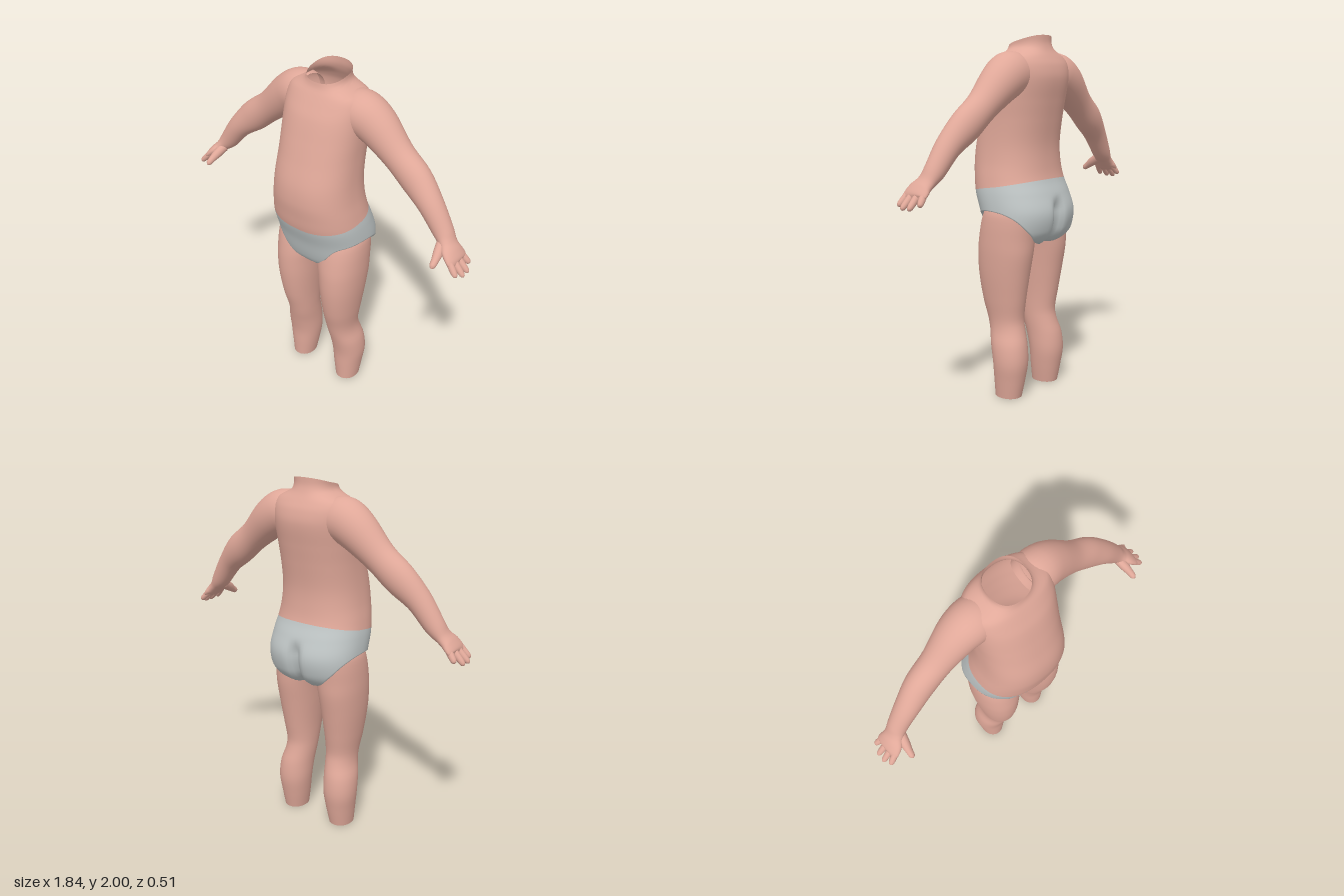
import * as THREE from 'three';

const TAU = Math.PI * 2;
const skin = new THREE.MeshStandardMaterial({ color: 0xe0a899, side: THREE.DoubleSide });
skin.name = 'skin';
const cloth = new THREE.MeshStandardMaterial({ color: 0xbfc5c5, side: THREE.DoubleSide });
cloth.name = 'grey cloth';

// Smooth interpolation of rows [key, a, b, ...] at a given key
function sample(rows, key) {
  const n = rows.length;
  const k = Math.min(Math.max(key, rows[0][0]), rows[n - 1][0]);
  let i = 0;
  while (i < n - 2 && rows[i + 1][0] < k) i++;
  const p = rows[i], q = rows[i + 1], h = q[0] - p[0], t = (k - p[0]) / h;
  const before = rows[Math.max(i - 1, 0)], after = rows[Math.min(i + 2, n - 1)];
  const t2 = t * t, t3 = t2 * t;
  return p.slice(1).map((_, j) => {
    const c = j + 1;
    const m0 = (q[c] - before[c]) / (q[0] - before[0]) * h;
    const m1 = (after[c] - p[c]) / (after[0] - p[0]) * h;
    return (2 * t3 - 3 * t2 + 1) * p[c] + (t3 - 2 * t2 + t) * m0
      + (3 * t2 - 2 * t3) * q[c] + (t3 - t2) * m1;
  });
}

// Tube-like surface: point(angle, v) with angle around and v from 0 to 1
function surface(name, material, around, rows, point) {
  const pos = [], index = [];
  for (let j = 0; j <= rows; j++) {
    for (let i = 0; i < around; i++) pos.push(...point(i / around * TAU, j / rows));
  }
  for (let j = 0; j < rows; j++) {
    for (let i = 0; i < around; i++) {
      const i2 = (i + 1) % around, a = j * around + i, b = j * around + i2;
      index.push(a, b, b + around, a, b + around, a + around);
    }
  }
  const g = new THREE.BufferGeometry();
  g.setAttribute('position', new THREE.Float32BufferAttribute(pos, 3));
  g.setIndex(index);
  g.computeVertexNormals();
  const mesh = new THREE.Mesh(g, material);
  mesh.name = name;
  return mesh;
}

const power = (v, e) => Math.sign(v) * Math.abs(v) ** e;

// Trunk sections: y, half width, front z, back z
const TRUNK = [
  [0.86, 0.24, 0.11, -0.15], [0.9, 0.268, 0.15, -0.205], [0.95, 0.278, 0.172, -0.24],
  [1.05, 0.281, 0.2, -0.257], [1.15, 0.275, 0.235, -0.225], [1.23, 0.262, 0.248, -0.192],
  [1.32, 0.246, 0.257, -0.178], [1.42, 0.236, 0.248, -0.176], [1.55, 0.232, 0.212, -0.192],
  [1.65, 0.235, 0.183, -0.208], [1.77, 0.24, 0.145, -0.225], [1.84, 0.238, 0.11, -0.213],
  [1.885, 0.215, 0.085, -0.19], [1.91, 0.16, 0.07, -0.175], [1.93, 0.125, 0.064, -0.165],
  [1.96, 0.113, 0.06, -0.155], [2.0, 0.118, 0.07, -0.152],
];

function trunkPoint(angle, y, inset = 1) {
  const [w, front, back] = sample(TRUNK, y);
  const mid = (front + back) / 2, depth = (front - back) / 2;
  const x = w * power(Math.sin(angle), 0.86) * inset;
  let z = mid + depth * power(Math.cos(angle), 0.86) * inset;
  // Crease between the buttocks
  if (Math.cos(angle) < 0) {
    const fade = THREE.MathUtils.smoothstep(1.15 - y, 0, 0.1);
    z += 0.045 * fade * Math.exp(-((x / 0.035) ** 2));
  }
  return [x, y, z];
}

// Edges of the briefs and the neck as heights around the trunk
const LEG_OPENING = [
  [0, 0.88], [0.18, 0.885], [0.37, 0.93], [0.7, 1.025], [1.1, 1.055], [1.57, 1.06],
  [2.0, 1.025], [2.4, 0.95], [2.7, 0.89], [3.0, 0.87], [3.15, 0.875],
];
const legOpening = a => sample(LEG_OPENING, a > Math.PI ? TAU - a : a)[0];
const waist = a => 1.19 - 0.04 * Math.cos(a);
const neckRim = a => 1.97 - 0.03 * Math.cos(a);

// Leg sections: y, inner x, outer x, front z, back z
const LEG = [
  [0, 0.105, 0.237, 0.05, -0.105], [0.1, 0.088, 0.25, 0.055, -0.125],
  [0.2, 0.075, 0.262, 0.06, -0.14], [0.3, 0.07, 0.256, 0.08, -0.132],
  [0.38, 0.065, 0.235, 0.1, -0.11], [0.44, 0.062, 0.232, 0.115, -0.1],
  [0.55, 0.055, 0.248, 0.145, -0.115], [0.7, 0.04, 0.268, 0.168, -0.14],
  [0.82, 0.027, 0.278, 0.172, -0.16], [0.9, 0.015, 0.28, 0.165, -0.165],
  [1.0, 0.015, 0.278, 0.145, -0.17], [1.06, 0.03, 0.268, 0.12, -0.16],
  [1.14, 0.07, 0.22, 0.06, -0.1],
];

function leg(side, name) {
  return surface(name, skin, 40, 50, (angle, v) => {
    const y = v * 1.14, a = angle * side;
    const [inner, outer, front, back] = sample(LEG, y);
    return [
      side * (inner + outer) / 2 + (outer - inner) / 2 * power(Math.sin(a), 0.95) ,
      y,
      (front + back) / 2 + (front - back) / 2 * power(Math.cos(a), 0.95),
    ].map((c, i) => (i === 0 && side < 0
      ? -(inner + outer) / 2 + (outer - inner) / 2 * power(Math.sin(angle), 0.95) : c));
  });
}

// Limb along points [x, y, z, thickness radius, z radius]
function limb(name, side, points, around, rows) {
  const keyed = points.map((p, i) => [i, ...p]);
  const last = points.length - 1;
  return surface(name, skin, around, rows, (angle, v) => {
    const k = v * last, a = angle * side;
    const [x, y, z, rn, rb] = sample(keyed, k);
    const p = sample(keyed, k - 0.05), q = sample(keyed, k + 0.05);
    const t = new THREE.Vector3(q[0] - p[0], q[1] - p[1], q[2] - p[2]).normalize();
    const n = new THREE.Vector3(-t.y, t.x, 0).normalize();
    const b = new THREE.Vector3().crossVectors(t, n);
    const c = Math.cos(a) * Math.max(rn, 0), s = Math.sin(a) * Math.max(rb, 0);
    return [side * (x + n.x * c + b.x * s), y + n.y * c + b.y * s, z + n.z * c + b.z * s];
  });
}

// Shoulder to knuckles
const ARM = [
  [0.14, 1.79, -0.06, 0.112, 0.115], [0.21, 1.788, -0.065, 0.122, 0.118],
  [0.295, 1.742, -0.07, 0.112, 0.108], [0.43, 1.63, -0.066, 0.087, 0.083],
  [0.55, 1.535, -0.06, 0.088, 0.077], [0.655, 1.44, -0.043, 0.068, 0.067],
  [0.745, 1.325, -0.033, 0.054, 0.056], [0.79, 1.275, -0.02, 0.037, 0.056],
  [0.825, 1.243, -0.008, 0.031, 0.073], [0.855, 1.212, -0.004, 0.023, 0.077],
  [0.868, 1.199, -0.004, 0.004, 0.06],
];

// Fingers: root z, tip x, tip y, tip z
const FINGERS = [
  [0.048, 0.9, 1.16, 0.066], [0.016, 0.92, 1.148, 0.024],
  [-0.02, 0.918, 1.148, -0.022], [-0.054, 0.893, 1.168, -0.072],
];

function arm(side, name) {
  const group = new THREE.Group();
  group.name = name;
  group.add(limb('armAndPalm', side, ARM, 32, 60));
  for (const [z, tx, ty, tz] of FINGERS) {
    const at = (f, r) => [
      0.84 + (tx - 0.84) * f, 1.225 + (ty - 1.225) * f, z + (tz - z) * f, r, r];
    group.add(limb('finger', side,
      [at(0, 0.019), at(0.4, 0.018), at(0.75, 0.016), at(0.93, 0.011), at(1, 0)], 12, 16));
  }
  group.add(limb('thumb', side, [
    [0.765, 1.275, 0.0, 0.026, 0.03], [0.776, 1.25, 0.045, 0.026, 0.028],
    [0.784, 1.225, 0.085, 0.02, 0.021], [0.788, 1.206, 0.115, 0.015, 0.016],
    [0.79, 1.2, 0.128, 0, 0]], 14, 18));
  return group;
}

export function createModel() {
  const model = new THREE.Group();
  model.name = 'body';

  // Trunk above the waistband, open at the neck
  model.add(surface('torso', skin, 96, 70, (a, v) =>
    trunkPoint(a, THREE.MathUtils.lerp(waist(a), neckRim(a), v))));

  // Briefs, with the lower edge tucked in against the legs
  model.add(surface('briefs', cloth, 96, 26, (a, v) =>
    trunkPoint(a, THREE.MathUtils.lerp(legOpening(a), waist(a), Math.max(0, (v * 26 - 1) / 25)),
      v === 0 ? 0.86 : 1)));
  const gusset = new THREE.Mesh(new THREE.SphereGeometry(1, 24, 16), cloth);
  gusset.name = 'gusset';
  gusset.scale.set(0.05, 0.055, 0.14);
  gusset.position.set(0, 0.932, -0.02);
  model.add(gusset);

  // Paired limbs
  for (const [side, label] of [[1, 'left'], [-1, 'right']]) {
    model.add(leg(side, label + 'Leg'), arm(side, label + 'Arm'));
  }
  return model;
}
